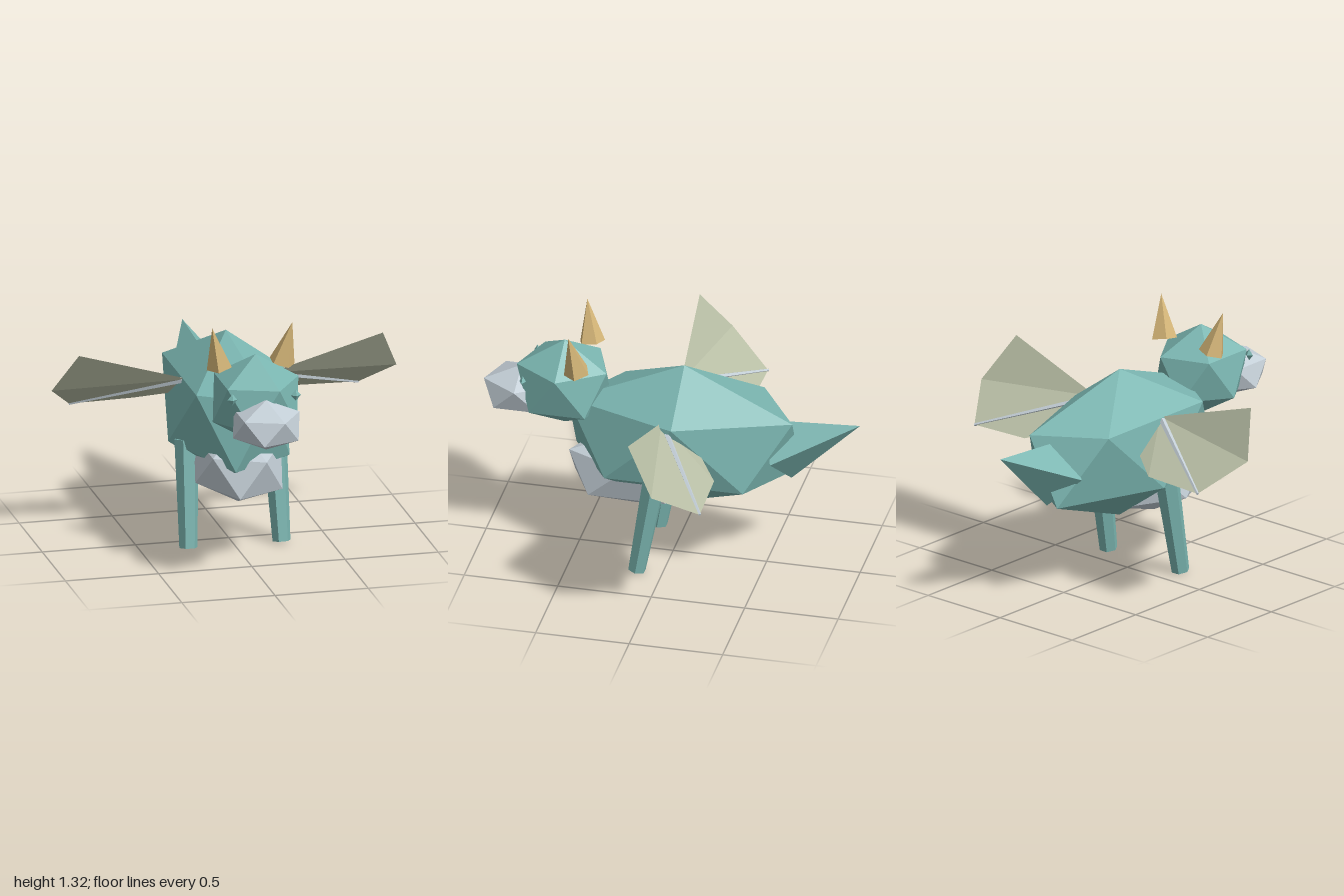
import * as THREE from 'three';

const mat = (name, color, extra = {}) => {
  const m = new THREE.MeshStandardMaterial({ color, flatShading: true, ...extra });
  m.name = name;
  return m;
};

export function createModel() {
  const teal = mat('teal hide', 0x7ab5b0);
  const grey = mat('pale grey', 0xc3ced6);
  const gold = mat('horn tan', 0xd4b577);
  const membrane = mat('wing membrane', 0xb8bea5, { side: THREE.DoubleSide });

  const model = new THREE.Group();
  model.name = 'dragon';
  const add = (name, geometry, material) => {
    const mesh = new THREE.Mesh(geometry, material);
    mesh.name = name;
    model.add(mesh);
    return mesh;
  };

  // Stretched icosahedron standing on a corner
  const blob = (name, radii, centre, material) => {
    const g = new THREE.IcosahedronGeometry(1, 0);
    g.rotateX(-Math.atan((1 + Math.sqrt(5)) / 2)).rotateY(Math.PI / 2);
    g.scale(...radii).translate(...centre);
    return add(name, g, material);
  };

  // Tapered prism running from point a to point b
  const limb = (name, a, b, ra, rb, sides, material, turn = 0) => {
    const from = new THREE.Vector3(...a), to = new THREE.Vector3(...b);
    const axis = to.clone().sub(from);
    const g = new THREE.CylinderGeometry(rb, ra, axis.length(), sides).rotateY(turn);
    const mesh = add(name, g, material);
    mesh.position.copy(from).add(to).multiplyScalar(0.5);
    mesh.quaternion.setFromUnitVectors(new THREE.Vector3(0, 1, 0), axis.normalize());
    return mesh;
  };

  // Main masses
  blob('body', [0.346, 0.405, 0.705], [0, 0.715, -0.06], teal);
  blob('belly', [0.257, 0.215, 0.394], [0, 0.48, 0.205], grey);
  blob('head', [0.257, 0.245, 0.282], [0, 0.945, 0.58], teal);
  blob('snout', [0.2, 0.135, 0.223], [0, 0.875, 0.81], grey);

  // Pointed tail
  limb('tail', [0, 0.685, -0.56], [0, 0.88, -1], 0.18, 0, 4, teal);

  // Paired parts
  for (const [side, s] of [['left', 1], ['right', -1]]) {
    limb(side + 'Leg', [s * 0.25, 0.008, 0.135], [s * 0.235, 0.573, 0.04], 0.048, 0.066, 6, teal, Math.PI / 6);
    limb(side + 'Horn', [s * 0.167, 1.1, 0.475], [s * 0.215, 1.325, 0.51], 0.07, 0, 5, gold, s * Math.PI / 2);

    const eye = add(side + 'Eye', new THREE.OctahedronGeometry(1, 0), teal);
    eye.scale.set(0.027, 0.031, 0.018);
    eye.position.set(s * 0.17, 1.01, 0.765);

    // Wing membrane: a folded fan opening from the shoulder
    const fan = [
      [0.22, 0.89, 0.01], [0.815, 1.075, 0.05], [0.925, 0.845, -0.1],
      [0.775, 0.692, -0.325], [0.43, 0.7, -0.32], [0.2, 0.77, -0.16],
    ];
    const wing = new THREE.BufferGeometry();
    wing.setAttribute('position', new THREE.Float32BufferAttribute(
      fan.flatMap(([x, y, z]) => [s * x, y, z]), 3));
    const faces = [];
    for (let i = 1; i < fan.length - 1; i++) {
      // Wind both sides so the upper surface is the front
      faces.push(...(s > 0 ? [0, i, i + 1] : [0, i + 1, i]));
    }
    wing.setIndex(faces);
    wing.computeVertexNormals();
    add(side + 'WingMembrane', wing, membrane);

    // Thin bone along the trailing fold
    limb(side + 'WingBone', [s * 0.22, 0.89, 0.01], [s * 0.775, 0.692, -0.325], 0.018, 0.008, 5, grey);
  }

  return model;
}
